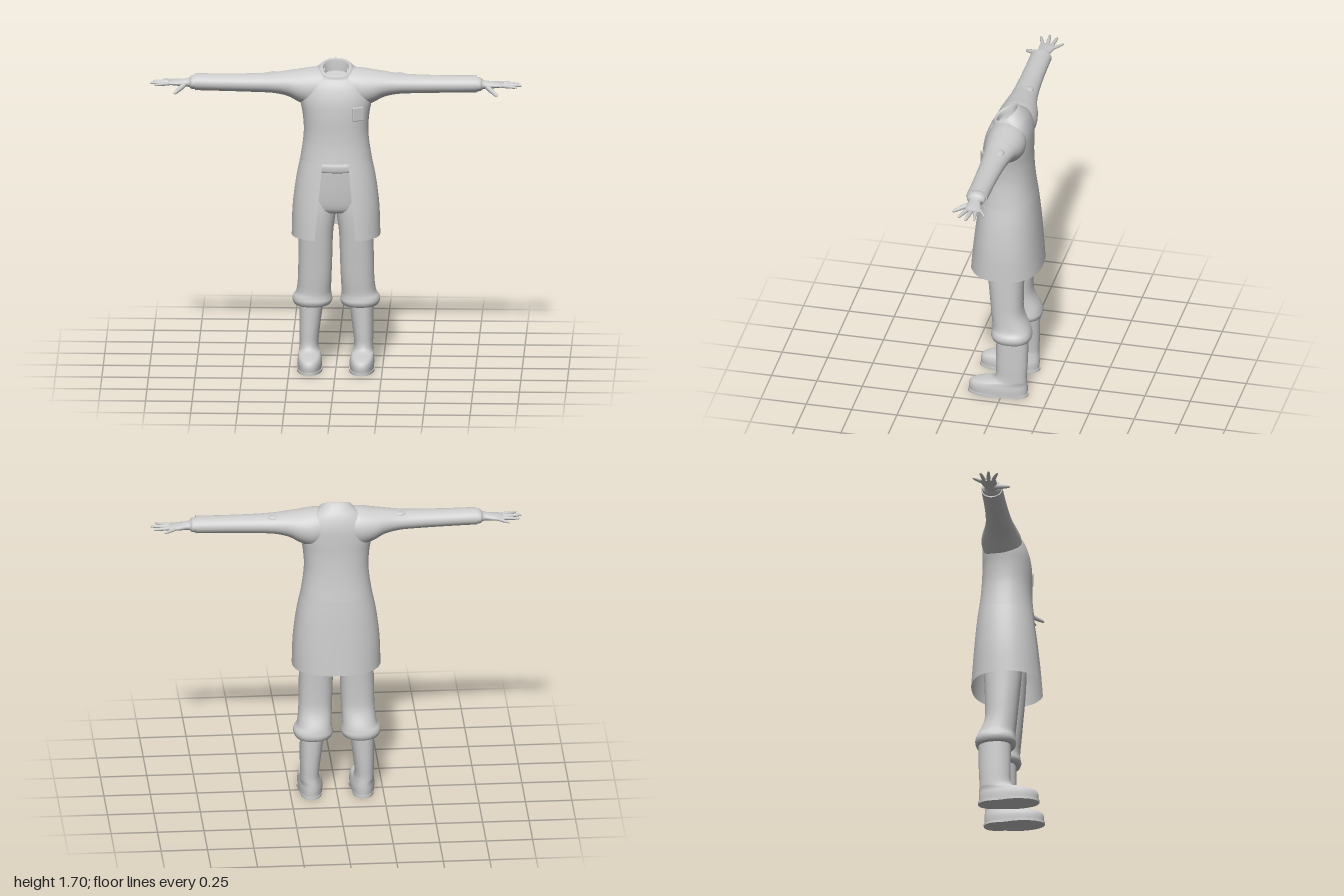
import * as THREE from 'three';
import { RoundedBoxGeometry } from 'three/addons/geometries/RoundedBoxGeometry.js';

const mat = new THREE.MeshStandardMaterial({ color: 0xcccccc });
const thin = new THREE.MeshStandardMaterial({ color: 0xcccccc, side: THREE.DoubleSide });
const spow = (v, p) => Math.sign(v) * Math.pow(Math.abs(v), p);

// Smooth in-between sections (Catmull-Rom on every number)
function refine(rows, steps) {
  const out = [];
  const at = i => rows[Math.min(rows.length - 1, Math.max(0, i))];
  for (let i = 0; i < rows.length - 1; i++) {
    for (let s = 0; s < steps; s++) {
      const t = s / steps;
      out.push(rows[i].map((b, k) => {
        const a = at(i - 1)[k], c = at(i + 1)[k], d = at(i + 2)[k];
        return 0.5 * (2 * b + (c - a) * t + (2 * a - 5 * b + 4 * c - d) * t * t + (3 * b - a - 3 * c + d) * t * t * t);
      }));
    }
  }
  out.push(rows[rows.length - 1]);
  return out;
}

// Skin a list of sections; point(row, u) gives the outline for u in 0..1
function loft(rows, point, { segs = 40, steps = 4, open = false, capStart = false, capEnd = false } = {}) {
  const rings = refine(rows, steps), pos = [], idx = [];
  const n = open ? segs + 1 : segs;
  for (const r of rings) for (let j = 0; j < n; j++) pos.push(...point(r, j / segs));
  for (let i = 0; i < rings.length - 1; i++) {
    for (let j = 0; j < segs; j++) {
      const a = i * n + j, b = i * n + (j + 1) % n, c = a + n, d = b + n;
      idx.push(a, b, c, b, d, c);
    }
  }
  const cap = (ring, flip) => {
    const base = pos.length / 3, mid = [0, 0, 0];
    for (let j = 0; j < n; j++) {
      const p = point(rings[ring], j / segs);
      pos.push(...p);
      p.forEach((v, k) => { mid[k] += v / n; });
    }
    pos.push(...mid);
    for (let j = 0; j < n; j++) {
      const a = base + j, b = base + (j + 1) % n;
      idx.push(...(flip ? [b, a, base + n] : [a, b, base + n]));
    }
  };
  if (capStart) cap(0, true);
  if (capEnd) cap(rings.length - 1, false);
  const g = new THREE.BufferGeometry();
  g.setAttribute('position', new THREE.Float32BufferAttribute(pos, 3));
  g.setIndex(idx);
  g.computeVertexNormals();
  return g;
}

// Upright section: [y, centreX, halfWidth, zFront, zBack, tilt, frontGap]
const N = 2.3;
function upright([y, cx, rx, zf, zb, tilt = 0, gap = 0], u) {
  const a0 = gap > 0 ? Math.asin(Math.pow(gap / rx, N / 2)) : 0;
  const a = a0 + u * (Math.PI * 2 - 2 * a0);
  const dz = spow(Math.cos(a), 2 / N) * (zf - zb) / 2;
  return [cx + rx * spow(Math.sin(a), 2 / N), y - tilt * dz, (zf + zb) / 2 + dz];
}

// Sideways section: [x, centreY, centreZ, halfHeight, halfDepth]
function sideways([x, cy, cz, ry, rz], u) {
  const a = u * Math.PI * 2;
  return [x, cy - ry * Math.sin(a), cz + rz * Math.cos(a)];
}

// Tapered, round-tipped finger from one point to another
function finger(from, to, r) {
  const a = new THREE.Vector3(...from), dir = new THREE.Vector3(...to).sub(a), len = dir.length();
  const profile = [[r, 0], [r * 1.02, 0.4], [r * 0.8, 0.75], [r * 0.55, 0.94], [0, 1]]
    .map(([x, t]) => new THREE.Vector2(x, t * len));
  const g = new THREE.LatheGeometry(profile, 10);
  g.applyQuaternion(new THREE.Quaternion().setFromUnitVectors(new THREE.Vector3(0, 1, 0), dir.normalize()));
  return g.translate(...from);
}

function mirrorX(geometry) {
  const g = geometry.clone().scale(-1, 1, 1), ix = g.index;
  for (let i = 0; i < ix.count; i += 3) {
    const b = ix.getX(i + 1);
    ix.setX(i + 1, ix.getX(i + 2));
    ix.setX(i + 2, b);
  }
  return g;
}

export function createModel() {
  const model = new THREE.Group();
  const add = (name, g, m = mat) => {
    const mesh = new THREE.Mesh(g, m);
    mesh.name = name;
    model.add(mesh);
    return mesh;
  };
  const pair = (name, g, m) => {
    add('left' + name, g, m);
    add('right' + name, mirrorX(g), m);
  };

  // Coat body up to the slanted collar, turning inside at the neck
  add('coatBody', loft([
    [1.165, 0, 0.192, 0.148, -0.155, 0],
    [1.25, 0, 0.179, 0.138, -0.143, 0],
    [1.33, 0, 0.173, 0.135, -0.135, 0],
    [1.42, 0, 0.18, 0.135, -0.13, 0],
    [1.5, 0, 0.194, 0.128, -0.13, 0],
    [1.57, 0, 0.188, 0.11, -0.126, 0.05],
    [1.62, 0, 0.15, 0.092, -0.107, 0.2],
    [1.647, 0, 0.105, 0.082, -0.078, 0.42],
    [1.668, 0, 0.08, 0.077, -0.05, 0.56],
    [1.663, 0, 0.068, 0.064, -0.042, 0.56],
    [1.62, 0, 0.062, 0.058, -0.04, 0.3],
  ], upright, { segs: 56, capEnd: true }), thin);

  // Flared coat skirt, open down the front
  add('coatSkirt', loft([
    [0.745, 0, 0.238, 0.198, -0.19, 0, 0.11],
    [0.9, 0, 0.233, 0.182, -0.179, 0, 0.095],
    [1.05, 0, 0.215, 0.164, -0.167, 0, 0.08],
    [1.165, 0, 0.192, 0.148, -0.155, 0, 0.07],
  ], upright, { segs: 56, open: true }), thin);

  // Chest pocket
  const pocket = add('chestPocket', new RoundedBoxGeometry(0.066, 0.076, 0.02, 2, 0.005));
  pocket.position.set(0.12, 1.433, 0.108);
  pocket.rotation.y = 0.56;

  // Sleeves, broad where they run into the shoulders
  pair('Sleeve', loft([
    [0.06, 1.56, -0.012, 0.1, 0.1],
    [0.13, 1.553, -0.014, 0.106, 0.108],
    [0.2, 1.56, -0.013, 0.088, 0.1],
    [0.26, 1.572, -0.01, 0.068, 0.085],
    [0.34, 1.575, -0.006, 0.054, 0.072],
    [0.45, 1.575, -0.003, 0.049, 0.064],
    [0.6, 1.576, -0.001, 0.046, 0.059],
    [0.74, 1.578, 0, 0.045, 0.058],
    [0.755, 1.578, 0, 0.046, 0.058],
  ], sideways, { capEnd: true }));
  pair('ShoulderFold', new THREE.SphereGeometry(1, 16, 10).scale(0.034, 0.012, 0.024).translate(0.34, 1.618, -0.03));

  // Gloved hands: wrist band, palm, fingers and thumb
  pair('Palm', loft([
    [0.745, 1.577, 0, 0.039, 0.052],
    [0.775, 1.576, 0, 0.036, 0.05],
    [0.787, 1.575, 0, 0.026, 0.038],
    [0.805, 1.574, 0, 0.021, 0.033],
    [0.84, 1.573, -0.004, 0.018, 0.04],
    [0.875, 1.573, -0.006, 0.014, 0.043],
    [0.9, 1.572, -0.006, 0.009, 0.038],
  ], sideways, { segs: 24, capEnd: true }));
  const fingers = {
    LittleFinger: [[0.86, 1.573, -0.036], [0.932, 1.568, -0.085], 0.009],
    RingFinger: [[0.885, 1.573, -0.026], [0.985, 1.57, -0.038], 0.01],
    MiddleFinger: [[0.89, 1.573, -0.004], [1, 1.571, 0.008], 0.0105],
    IndexFinger: [[0.88, 1.573, 0.018], [0.975, 1.571, 0.053], 0.01],
    Thumb: [[0.81, 1.568, 0.018], [0.868, 1.538, 0.11], 0.013],
  };
  for (const [name, [from, to, r]] of Object.entries(fingers)) pair(name, finger(from, to, r));

  // Trousers: hips, belt and gathered legs
  add('trouserHips', loft([
    [0.87, 0, 0.12, 0.07, -0.09],
    [0.9, 0, 0.165, 0.095, -0.115],
    [1.0, 0, 0.168, 0.108, -0.125],
    [1.13, 0, 0.155, 0.115, -0.125],
  ], upright, { capStart: true, capEnd: true }));
  add('belt', loft([
    [1.105, 0, 0.15, 0.112, -0.12],
    [1.112, 0, 0.16, 0.126, -0.128],
    [1.145, 0, 0.16, 0.127, -0.128],
    [1.152, 0, 0.15, 0.114, -0.12],
  ], upright, { capEnd: true }));
  pair('TrouserLeg', loft([
    [0.352, 0.133, 0.055, 0.03, -0.12],
    [0.343, 0.129, 0.09, 0.05, -0.145],
    [0.365, 0.128, 0.106, 0.063, -0.156],
    [0.39, 0.128, 0.104, 0.06, -0.153],
    [0.42, 0.121, 0.093, 0.058, -0.143],
    [0.5, 0.115, 0.09, 0.066, -0.109],
    [0.6, 0.112, 0.091, 0.075, -0.105],
    [0.745, 0.108, 0.092, 0.088, -0.11],
    [0.87, 0.1, 0.098, 0.094, -0.115],
    [0.95, 0.092, 0.088, 0.09, -0.11],
  ], upright, { capStart: true }));

  // Tall boots with a rounded toe
  pair('Boot', loft([
    [0.012, 0.14, 0.065, 0.184, -0.135],
    [0.045, 0.14, 0.066, 0.186, -0.136],
    [0.07, 0.141, 0.062, 0.17, -0.135],
    [0.084, 0.143, 0.058, 0.12, -0.134],
    [0.095, 0.145, 0.054, 0.06, -0.133],
    [0.125, 0.147, 0.051, 0.036, -0.132],
    [0.2, 0.144, 0.055, 0.035, -0.136],
    [0.37, 0.133, 0.066, 0.036, -0.14],
  ], upright));
  // Soles, pinched at the arch
  const arch = (row, u) => {
    const p = upright(row, u);
    p[0] = row[1] + (p[0] - row[1]) * (1 - 0.16 * Math.exp(-(((p[2] + 0.03) / 0.05) ** 2)));
    return p;
  };
  pair('Sole', loft([
    [0, 0.14, 0.07, 0.19, -0.14],
    [0.014, 0.14, 0.07, 0.19, -0.14],
  ], arch, { steps: 1, capStart: true, capEnd: true }));

  return model;
}
